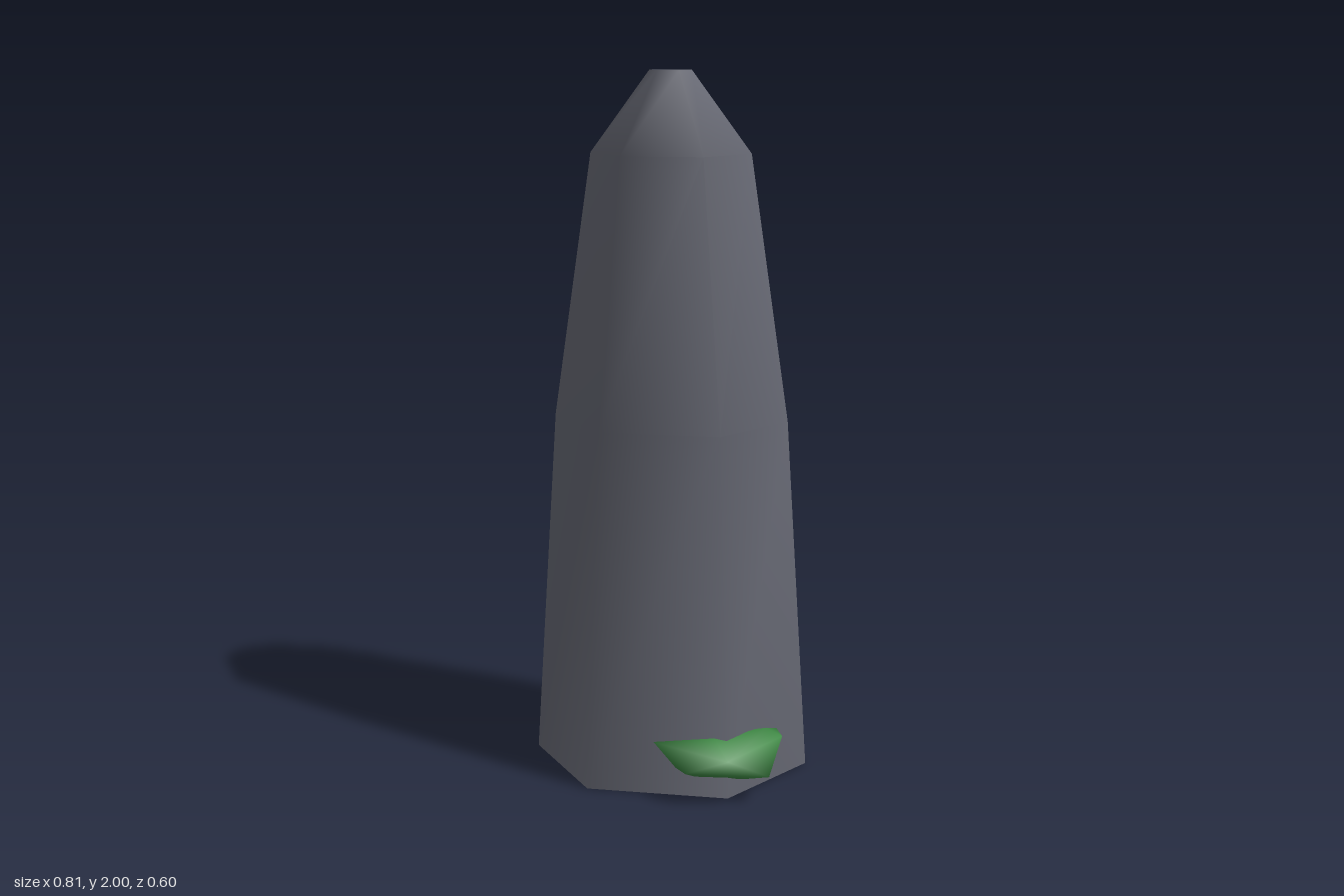
import * as THREE from 'three';
import { mergeVertices } from 'three/addons/utils/BufferGeometryUtils.js';
import { ConvexGeometry } from 'three/addons/geometries/ConvexGeometry.js';

const CENTER_Z = -0.045;

// Shaft rings: height, half width, half depth
const RINGS = [
  [0, 0.405, 0.255],
  [1.04, 0.333, 0.205],
  [1.78, 0.222, 0.16],
  [2, 0.058, 0.05],
];

// Corner of a stretched hexagon with points on the x axis
function corner([y, w, d], i) {
  const a = (i * Math.PI) / 3;
  return [w * Math.cos(a), y, CENTER_Z + (d * Math.sin(a)) / Math.sin(Math.PI / 3)];
}

function build(positions, index) {
  const g = new THREE.BufferGeometry();
  g.setAttribute('position', new THREE.Float32BufferAttribute(positions, 3));
  g.setIndex(index);
  g.computeVertexNormals();
  return g;
}

// Smooth six-sided wall
function wallGeometry() {
  const positions = [], index = [];
  RINGS.forEach((ring, r) => {
    for (let i = 0; i < 6; i++) {
      positions.push(...corner(ring, i));
      if (r === RINGS.length - 1) continue;
      const a = r * 6 + i, b = r * 6 + ((i + 1) % 6);
      index.push(a, a + 6, b, b, a + 6, b + 6);
    }
  });
  return build(positions, index);
}

// Flat end cap
function capGeometry(ring, up) {
  const positions = [], index = [];
  for (let i = 0; i < 6; i++) positions.push(...corner(ring, i));
  for (let i = 1; i < 5; i++) index.push(0, ...(up ? [i + 1, i] : [i, i + 1]));
  return build(positions, index);
}

export function createModel() {
  const material = (name, color) => {
    const m = new THREE.MeshStandardMaterial({ color });
    m.name = name;
    return m;
  };
  const stone = material('grey stone', 0x666873);
  const clay = material('red clay', 0xa63c22);
  const moss = material('moss green', 0x3f8a45);

  const model = new THREE.Group();
  model.name = 'standingStone';
  const add = (name, geometry, mat, parent = model) => {
    const mesh = new THREE.Mesh(geometry, mat);
    mesh.name = name;
    parent.add(mesh);
    return mesh;
  };

  // Tapered stone shaft
  const shaft = new THREE.Group();
  shaft.name = 'shaft';
  model.add(shaft);
  add('shaftWall', wallGeometry(), stone, shaft);
  add('shaftTop', capGeometry(RINGS[3], true), stone, shaft);
  add('shaftBase', capGeometry(RINGS[0], false), stone, shaft);

  // Blocks climbing the back: height, width, outer z
  const blocks = [
    [0.52, 0.134, -0.298],
    [0.853, 0.119, -0.282],
    [1.19, 0.105, -0.263],
    [1.485, 0.09, -0.249],
  ];
  blocks.forEach(([y, w, z], i) => {
    add(`backBlock${i + 1}`, new THREE.BoxGeometry(w, 0.09, 0.032), clay)
      .position.set(0, y, z + 0.016);
  });

  // Moss clump wrapped around the front left corner
  const points = [
    [-0.01, 0.155, 0.204], [0.05, 0.166, 0.19], [0.16, 0.178, 0.2], [0.3, 0.173, 0.1],
    [0.21, 0.155, 0.297], [0.345, 0.15, 0.1], [0.325, 0.15, 0.05], [0.335, 0.11, 0.04],
    [0.09, 0.1, 0.276], [0.32, 0.085, 0.23], [0.05, 0.08, 0.2], [0.11, 0.055, 0.2],
    [0.24, 0.045, 0.175], [0.32, 0.075, 0.07], [0.12, 0.11, 0.06],
  ].map((p) => new THREE.Vector3(...p));
  let clump = new ConvexGeometry(points);
  clump.deleteAttribute('normal');
  clump = mergeVertices(clump);
  clump.computeVertexNormals();
  add('mossClump', clump, moss);

  return model;
}
